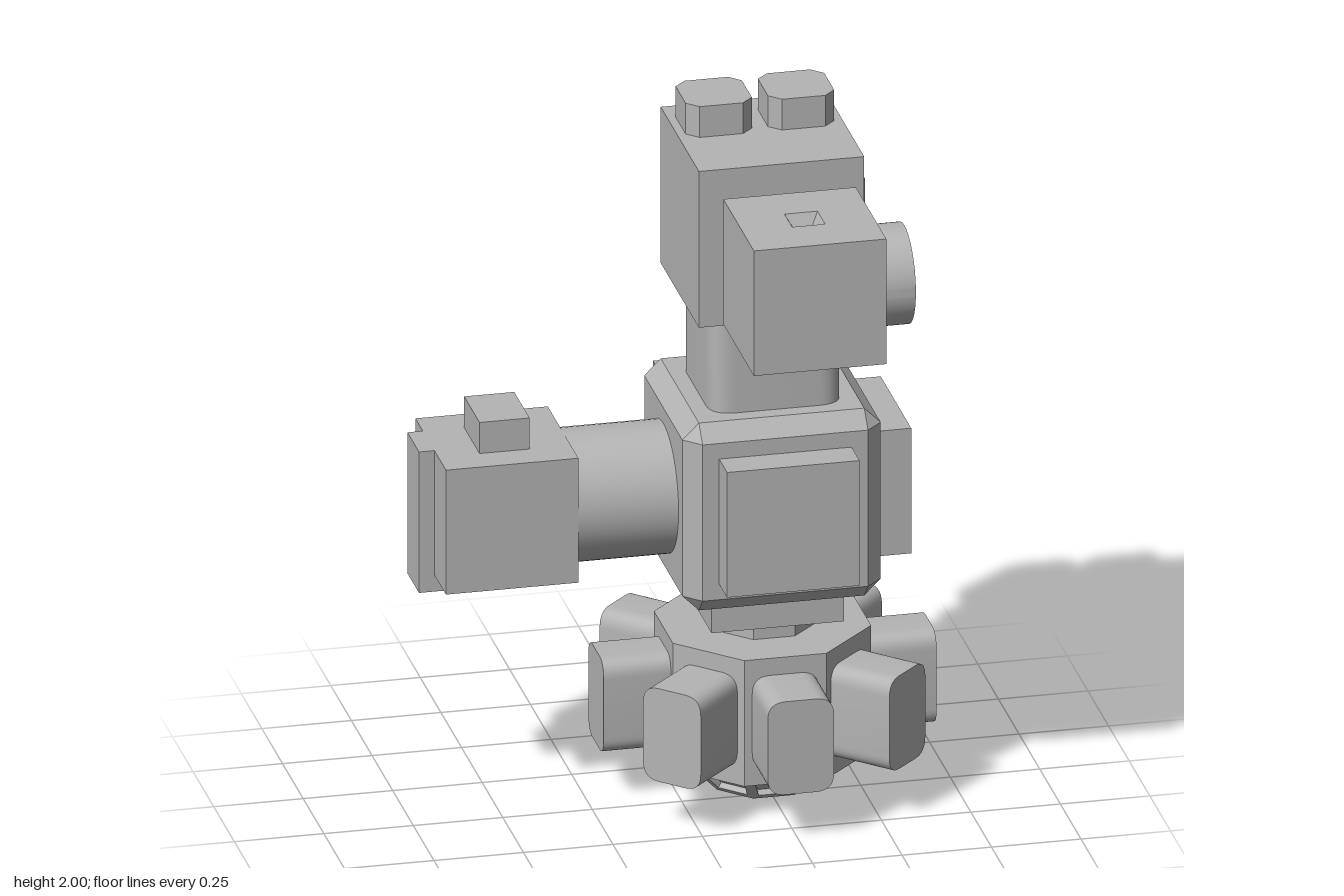
import * as THREE from 'three';
import { toCreasedNormals } from 'three/addons/utils/BufferGeometryUtils.js';
import { ConvexGeometry } from 'three/addons/geometries/ConvexGeometry.js';

const CX = 0.252, CZ = -0.115;        // main vertical axis
const BODY_Y = 0.888, HEAD_Y = 1.678; // centres of the two cubes
const OCT = Math.cos(Math.PI / 8);

// rectangle with straight (chamfered) or rounded corners
function rectShape(w, h, r = 0, round = false) {
  const s = new THREE.Shape(), x = w / 2, y = h / 2;
  const corners = [[x, -y, 0, 1, -1, 0], [x, y, -1, 0, 0, -1], [-x, y, 0, -1, 1, 0], [-x, -y, 1, 0, 0, 1]];
  s.moveTo(-x + r, -y);
  for (const [px, py, ox, oy, ix, iy] of corners) {
    s.lineTo(px + ix * r, py + iy * r);
    if (r && round) s.quadraticCurveTo(px, py, px + ox * r, py + oy * r);
    else if (r) s.lineTo(px + ox * r, py + oy * r);
  }
  return s;
}

const extrude = (shape, depth) =>
  new THREE.ExtrudeGeometry(shape, { depth, bevelEnabled: false, curveSegments: 8 });

function framed(outer, hole) {
  outer.holes.push(hole);
  return outer;
}

// prism or frustum with flat sides, measured by apothem; axis y, flat facing +z
function prism(sides, top, bottom, h) {
  const k = Math.cos(Math.PI / sides);
  return new THREE.CylinderGeometry(top / k, bottom / k, h, sides).rotateY(Math.PI / sides);
}

export function createModel() {
  const model = new THREE.Group();
  model.name = 'modularStation';
  const grey = new THREE.MeshStandardMaterial({ color: 0xb4b4b4, side: THREE.DoubleSide });
  grey.name = 'hull grey';

  function add(name, geometry, x, y, z, parent = model) {
    const mesh = new THREE.Mesh(toCreasedNormals(geometry, 0.5), grey);
    mesh.name = name;
    mesh.position.set(x, y, z);
    parent.add(mesh);
    return mesh;
  }
  const box = (name, x0, x1, y0, y1, z0, z1) =>
    add(name, new THREE.BoxGeometry(x1 - x0, y1 - y0, z1 - z0), (x0 + x1) / 2, (y0 + y1) / 2, (z0 + z1) / 2);

  // octagonal base with eight pods
  add('baseHub', prism(8, 0.277, 0.277, 0.372), CX, 0.284, CZ);
  const pod = extrude(rectShape(0.185, 0.275, 0.05, true), 0.215);
  // viewing dome under the base: inner glass, sloping frames, floor
  const H = 0.1, TOP = 0.23, LOW = 0.14, slope = Math.atan2(TOP - LOW, H), L = Math.hypot(TOP - LOW, H);
  const t = Math.tan(Math.PI / 8);
  const trapezoid = (low, high, y0, y1) => new THREE.Shape([
    new THREE.Vector2(-low, y0), new THREE.Vector2(low, y0),
    new THREE.Vector2(high, y1), new THREE.Vector2(-high, y1)]);
  const frame = extrude(framed(trapezoid(LOW * t, TOP * t, 0, L),
    trapezoid(LOW * t - 0.012, TOP * t - 0.022, 0.018, L - 0.018)), 0.02).translate(0, 0, -0.02);
  for (let i = 0; i < 8; i++) {
    const spoke = new THREE.Group();
    spoke.name = 'baseSide';
    spoke.position.set(CX, 0, CZ);
    spoke.rotation.y = i * Math.PI / 4;
    model.add(spoke);
    add('pod', pod, 0, 0.282, 0.25, spoke);
    add('domeWindowFrame', frame, 0, 0, LOW, spoke).rotation.x = slope;
  }
  add('domeGlass', prism(8, TOP - 0.022, LOW - 0.022, H - 0.002), CX, H / 2 + 0.001, CZ);
  add('domeFloor', prism(8, LOW + 0.004, LOW, 0.006), CX, 0.003, CZ);

  // neck between base and body
  add('baseNeck', prism(8, 0.14, 0.14, 0.07), CX, 0.495, CZ);
  box('baseCollar', CX - 0.185, CX + 0.185, 0.52, 0.62, CZ - 0.185, CZ + 0.185);

  // body: cube with every edge chamfered
  const a = 0.277, b = 0.231, points = [];
  for (const sx of [-1, 1]) for (const sy of [-1, 1]) for (const sz of [-1, 1])
    for (const [x, y, z] of [[a, b, b], [b, a, b], [b, b, a]])
      points.push(new THREE.Vector3(sx * x, sy * y, sz * z));
  add('body', new ConvexGeometry(points), CX, BODY_Y, CZ);
  box('bodyFrontPlate', CX - 0.185, CX + 0.185, BODY_Y - 0.185, BODY_Y + 0.185, 0.15, 0.258);
  box('bodyBackPlate', CX - 0.231, CX + 0.231, BODY_Y - 0.231, BODY_Y + 0.231, -0.44, -0.38);
  // six-sided raised hatch on the back, a corner pointing up
  add('backHatch', prism(6, 0.144, 0.185, 0.072).rotateY(Math.PI / 6).rotateX(-Math.PI / 2)
    .rotateZ(0), CX, BODY_Y, -0.475);
  // open docking frame on the left side
  box('sideDockFloor', 0.52, 0.575, BODY_Y - 0.185, BODY_Y + 0.185, CZ - 0.185, CZ + 0.185);
  add('sideDockFrame', extrude(framed(rectShape(0.37, 0.37), rectShape(0.28, 0.28)), 0.05)
    .rotateY(Math.PI / 2), 0.575, BODY_Y, CZ);

  // right arm
  add('armTube', new THREE.CylinderGeometry(0.185, 0.185, 0.3, 48).rotateZ(Math.PI / 2), -0.16, BODY_Y, CZ);
  box('armModule', -0.675, -0.305, 0.705, 1.073, CZ - 0.185, CZ + 0.185);
  box('armKeel', -0.718, -0.305, 0.656, 1.073, -0.21, -0.07);
  box('armTopBlock', -0.56, -0.42, 1.07, 1.165, CZ - 0.093, CZ + 0.093);

  // column and head
  add('column', extrude(rectShape(0.37, 0.37, 0.07, true), 0.31).rotateX(-Math.PI / 2), CX, 1.15, CZ);
  box('head', CX - 0.231, CX + 0.231, HEAD_Y - 0.231, HEAD_Y + 0.231, CZ - 0.231, CZ + 0.231);
  const topBlock = extrude(rectShape(0.185, 0.185, 0.032), 0.1).rotateX(-Math.PI / 2);
  const backBlock = extrude(rectShape(0.185, 0.32, 0.025), 0.1);
  for (const side of [-1, 1]) {
    add('headTopBlock', topBlock, CX + side * 0.115, 1.9, -0.207);
    add('headBackBlock', backBlock, CX + side * 0.115, HEAD_Y, -0.44);
  }
  add('headSidePanel', prism(4, 0.115, 0.14, 0.03).rotateZ(-Math.PI / 2), 0.497, HEAD_Y, CZ);

  // front module with a sunken square on top and an open ring on its side
  const fz = 0.398, top = HEAD_Y + 0.185, pit = 0.04;
  add('frontTube', new THREE.CylinderGeometry(0.14, 0.14, 0.12, 48).rotateX(Math.PI / 2), CX, HEAD_Y, 0.16);
  box('frontModule', CX - 0.185, CX + 0.185, HEAD_Y - 0.185, top - pit, fz - 0.185, fz + 0.185);
  add('frontModuleRoof', extrude(framed(rectShape(0.37, 0.37), rectShape(0.092, 0.092)), pit)
    .rotateX(-Math.PI / 2), CX, top - pit, fz);
  add('roofPit', new THREE.CylinderGeometry(0.046 * Math.SQRT2, 0.023 * Math.SQRT2, pit, 4, 1, true)
    .rotateY(Math.PI / 4), CX, top - pit / 2, fz);
  const ring = new THREE.Shape().absarc(0, 0, 0.14, 0, Math.PI * 2);
  ring.holes.push(new THREE.Path().absarc(0, 0, 0.131, 0, Math.PI * 2));
  add('sideRing', new THREE.ExtrudeGeometry(ring, { depth: 0.1, bevelEnabled: false, curveSegments: 48 })
    .rotateY(Math.PI / 2), 0.43, HEAD_Y, fz);

  return model;
}
